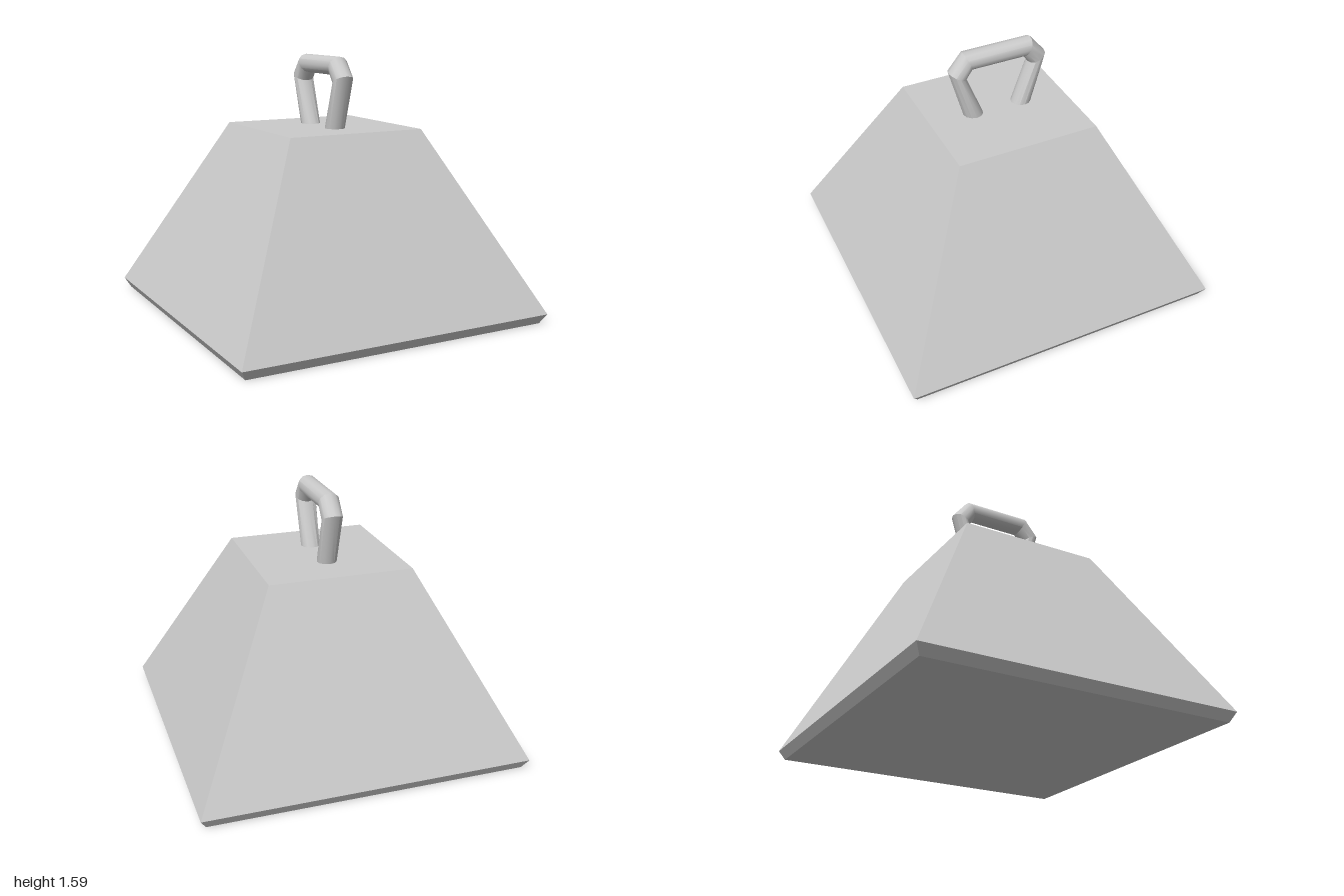
import * as THREE from 'three';
import { toCreasedNormals } from 'three/addons/utils/BufferGeometryUtils.js';

const SIDES = 12;

// Four-sided block: profile of [half width, height] from bottom to top
function squareBlock(profile) {
  const points = profile.map(([half, y]) => new THREE.Vector2(half * Math.SQRT2, y));
  const geometry = new THREE.LatheGeometry(points, 4, Math.PI / 4).toNonIndexed();
  geometry.computeVertexNormals();
  return geometry;
}

// Round bar through mitred rings, each [outer z, outer y, inner z, inner y, half width]
function mitredBar(rings) {
  const positions = [];
  const index = [];
  for (const [oz, oy, iz, iy, w] of rings) {
    for (let i = 0; i < SIDES; i++) {
      const a = (i / SIDES) * Math.PI * 2;
      const c = Math.cos(a) / 2;
      positions.push(w * Math.sin(a), (oy + iy) / 2 + (oy - iy) * c, (oz + iz) / 2 + (oz - iz) * c);
    }
  }
  for (let j = 0; j < rings.length - 1; j++) {
    for (let i = 0; i < SIDES; i++) {
      const a = j * SIDES + i;
      const b = j * SIDES + (i + 1) % SIDES;
      index.push(a, b, a + SIDES, b, b + SIDES, a + SIDES);
    }
  }
  const geometry = new THREE.BufferGeometry();
  geometry.setAttribute('position', new THREE.Float32BufferAttribute(positions, 3));
  geometry.setIndex(index);
  return toCreasedNormals(geometry, 0.61);
}

export function createModel() {
  const group = new THREE.Group();
  const grey = new THREE.MeshStandardMaterial({ color: 0xcccccc });

  // Truncated pyramid with an undercut lower edge
  const body = new THREE.Mesh(squareBlock([[0, 0], [0.966, 0], [1, 0.06], [0.44, 1.155], [0, 1.155]]), grey);
  body.name = 'weightBody';
  group.add(body);

  // Handle: leg foot, two elbow mitres, then the same mirrored to the back
  const half = [
    [0.207, 1.105, 0.078, 1.105, 0.06],
    [0.31, 1.477, 0.203, 1.423, 0.065],
    [0.217, 1.59, 0.167, 1.476, 0.065],
  ];
  const mirrored = half.map(([oz, oy, iz, iy, w]) => [-oz, oy, -iz, iy, w]).reverse();
  const handle = new THREE.Mesh(mitredBar([...half, ...mirrored]), grey);
  handle.name = 'handle';
  group.add(handle);

  return group;
}
